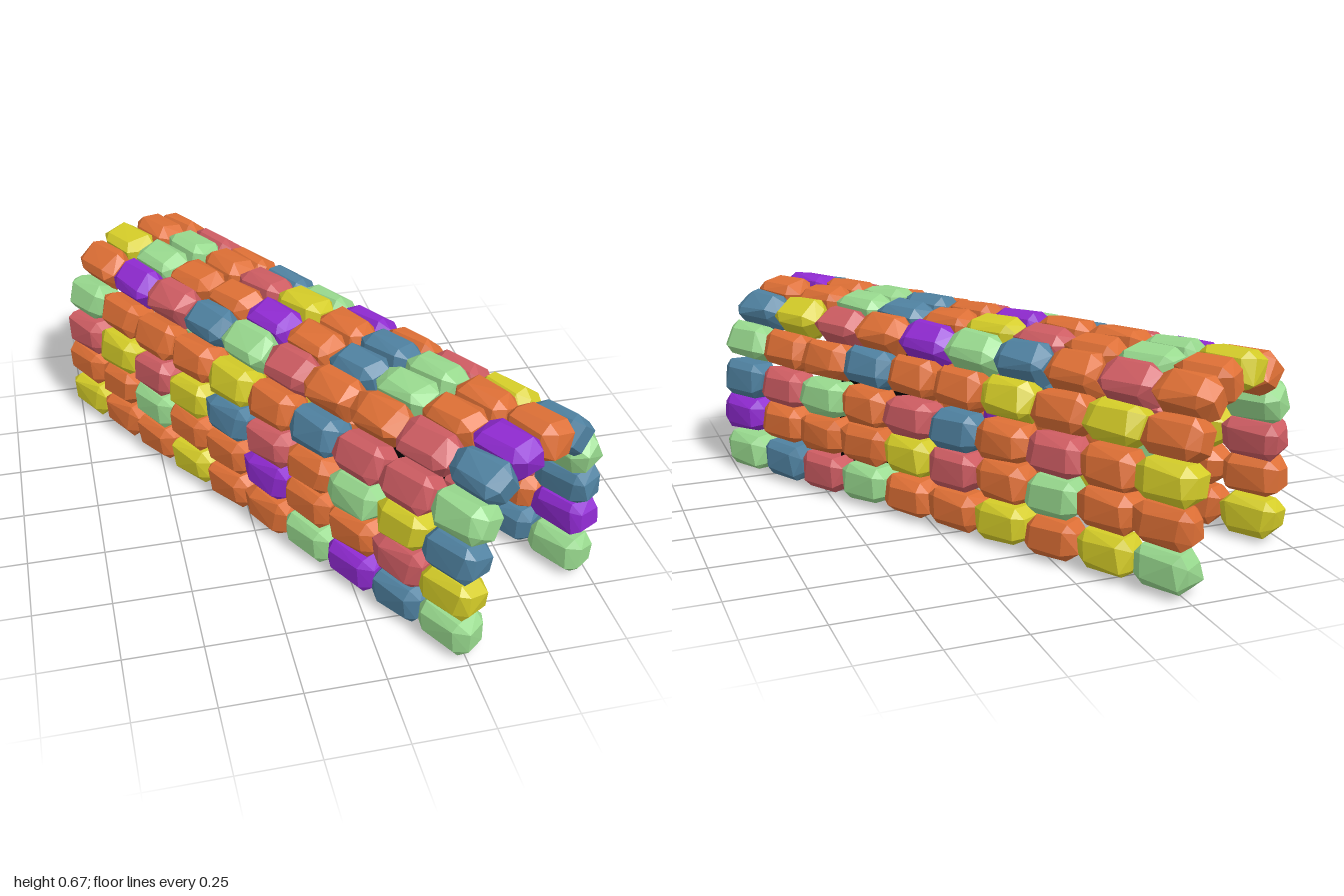
import * as THREE from 'three';
import { ConvexGeometry } from 'three/addons/geometries/ConvexGeometry.js';

const COLORS = { O: 0xdd6f35, Y: 0xd4cc28, G: 0x98d98e, R: 0xcd5c62, B: 0x4f81a0, P: 0x8f2ad0 };

// Small seeded generator for the chipped stone corners
let seed = 7;
const rand = () => {
  seed = (seed * 16807) % 2147483647;
  return seed / 2147483647;
};
const jitter = (amount) => (rand() - 0.5) * 2 * amount;

// One rough block: a heavily chamfered box with uneven corners (x = thickness, y = height, z = length)
function stoneGeometry() {
  const half = [0.062, 0.063, 0.101];
  const corner = [[1, 0.55, 0.6], [0.58, 1, 0.62], [0.55, 0.5, 0.98]];
  const points = [];
  for (const sx of [-1, 1]) for (const sy of [-1, 1]) for (const sz of [-1, 1]) {
    for (const [x, y, z] of corner) {
      points.push(new THREE.Vector3(
        sx * half[0] * Math.min(1, x + jitter(0.12)),
        sy * half[1] * Math.min(1, y + jitter(0.12)),
        sz * half[2] * Math.min(1, z + jitter(0.1))
      ));
    }
  }
  return new ConvexGeometry(points);
}

// Courses of the vault: side offset, height, outward tilt in degrees,
// and the stone colours from back to front on either side
const COURSES = [
  { name: 'WallCourse1', u: 0.268, y: 0.075, tilt: 0, neg: 'YOOYOOGPBG', pos: 'GYOYOOGRBG' },
  { name: 'WallCourse2', u: 0.268, y: 0.213, tilt: 2, neg: 'OOGOOPOORY', pos: 'OOGORYOOOP' },
  { name: 'WallCourse3', u: 0.262, y: 0.341, tilt: 6, neg: 'RYRYBROGYB', pos: 'YOROBROGRB' },
  { name: 'WallCourse4', u: 0.242, y: 0.470, tilt: 20, neg: 'GOOOYOBRRG', pos: 'OYOYOOBOOG' },
  { name: 'ShoulderCourse', u: 0.172, y: 0.570, tilt: 52, neg: 'OPRBGROORB', pos: 'OROBGPORYB' },
  { name: 'CrownCourse', u: 0.066, y: 0.604, tilt: 80, neg: 'YGOOPOBGOP', pos: 'OGORYOBGOO' },
];
const SPACING = 0.194;

export function createModel() {
  const model = new THREE.Group();
  model.name = 'stoneTunnel';
  model.rotation.y = THREE.MathUtils.degToRad(31.4);

  const materials = {};
  for (const key in COLORS) {
    materials[key] = new THREE.MeshStandardMaterial({ color: COLORS[key], flatShading: true });
  }
  const stones = Array.from({ length: 12 }, stoneGeometry);

  // Mirrored courses of ten stones each
  for (const course of COURSES) {
    for (const side of [-1, 1]) {
      const row = new THREE.Group();
      row.name = (side > 0 ? 'left' : 'right') + course.name;
      const tilt = THREE.MathUtils.degToRad(course.tilt);
      [...(side > 0 ? course.pos : course.neg)].forEach((key, i) => {
        const stone = new THREE.Mesh(stones[Math.floor(rand() * stones.length)], materials[key]);
        stone.name = 'stone';
        stone.position.set(side * course.u, course.y + jitter(0.003), (i - 4.5) * SPACING);
        stone.rotation.z = side > 0 ? tilt : Math.PI - tilt;
        row.add(stone);
      });
      model.add(row);
    }
  }

  // Dark screen across the passage, following the vault outline
  const outline = new THREE.Shape();
  outline.moveTo(-0.265, 0);
  outline.lineTo(0.265, 0.018);
  for (const c of COURSES.slice(1)) outline.lineTo(c.u, c.y);
  for (const c of COURSES.slice(1).reverse()) outline.lineTo(-c.u, c.y);
  const screen = new THREE.Mesh(
    new THREE.ShapeGeometry(outline),
    new THREE.MeshStandardMaterial({ color: 0x000000, side: THREE.DoubleSide })
  );
  screen.name = 'darkScreen';
  screen.position.z = 0.43;
  model.add(screen);

  const root = new THREE.Group();
  root.name = 'tunnel';
  root.add(model);
  return root;
}
